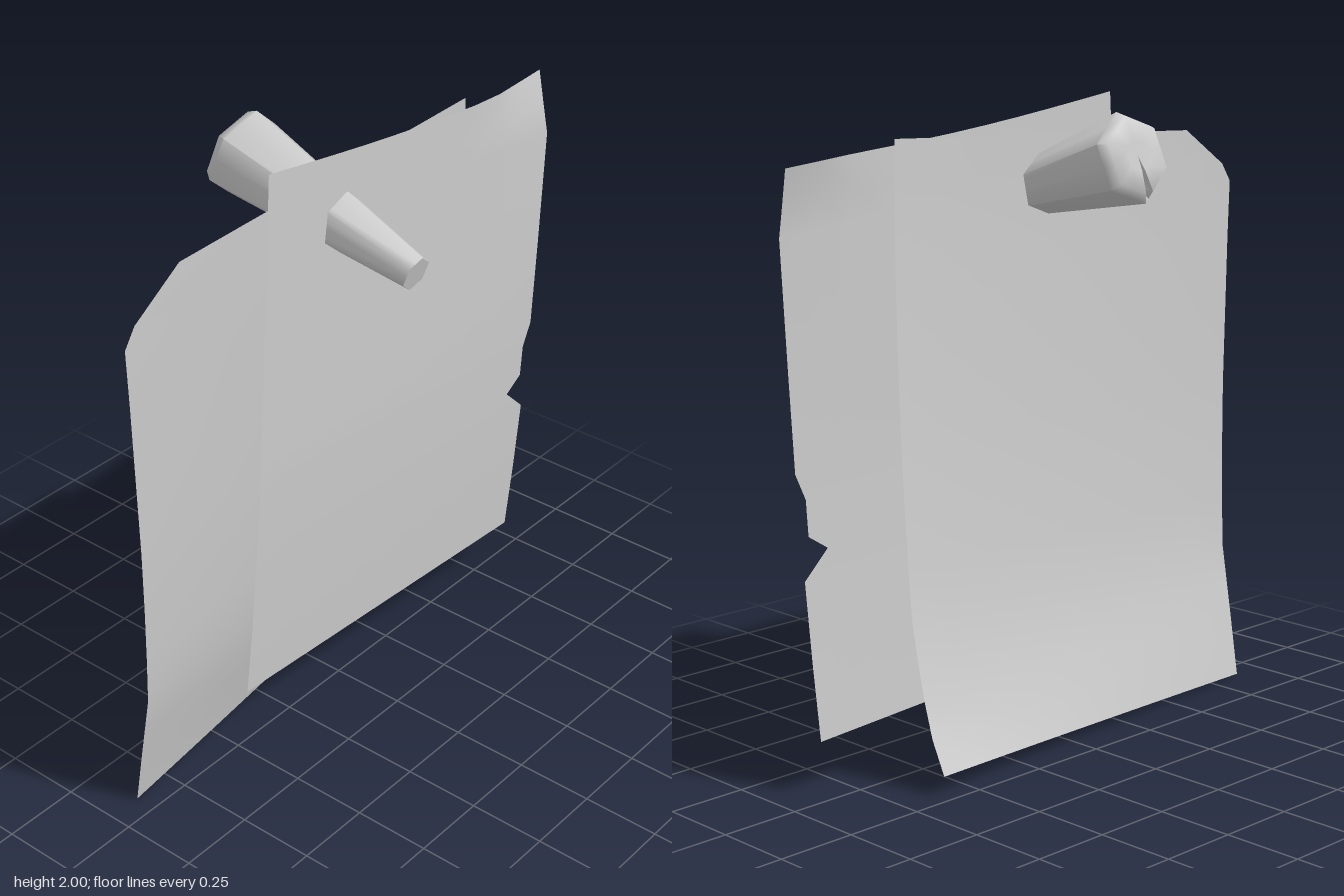
import * as THREE from 'three';
import { toCreasedNormals } from 'three/addons/utils/BufferGeometryUtils.js';

const paperGrey = new THREE.MeshStandardMaterial({ color: 0xcccccc, side: THREE.DoubleSide });
paperGrey.name = 'plain grey';

// Indexed grid surface from rows of [x, y, z] points
function gridGeometry(rows, closed = false) {
  const n = rows[0].length, index = [];
  for (let r = 0; r < rows.length - 1; r++) {
    for (let i = 0; i < (closed ? n : n - 1); i++) {
      const j = (i + 1) % n;
      const a = r * n + i, b = r * n + j, c = (r + 1) * n + j, d = (r + 1) * n + i;
      index.push(a, b, c, a, c, d);
    }
  }
  const g = new THREE.BufferGeometry();
  g.setAttribute('position', new THREE.Float32BufferAttribute(rows.flat(2), 3));
  g.setIndex(index);
  g.computeVertexNormals();
  return g;
}

// Piecewise linear lookup in [key, value] pairs
function lookup(table, k) {
  for (let i = 1; i < table.length; i++) {
    const [k0, v0] = table[i - 1], [k1, v1] = table[i];
    if (k <= k1) return v0 + (v1 - v0) * Math.max(0, (k - k0) / (k1 - k0));
  }
  return table[table.length - 1][1];
}

// Sheet lofted between matching left and right edge points
function sheet(name, left, right, columns, bend) {
  const rows = left.map(([lx, ly], i) => {
    const [rx, ry] = right[i], row = [];
    for (let c = 0; c <= columns; c++) {
      const u = c / columns;
      const x = lx + (rx - lx) * u, y = ly + (ry - ly) * u;
      row.push(bend(x, y, u, i / (left.length - 1)));
    }
    return row;
  });
  const mesh = new THREE.Mesh(gridGeometry(rows), paperGrey);
  mesh.name = name;
  return mesh;
}

function backSheet() {
  const left = [], right = [];
  for (const y of [0, 0.1, 0.2, 0.3, 0.44, 0.6, 0.8, 1.0, 1.25, 1.5, 1.68]) {
    left.push([-0.89 - 0.07 * y / 1.68, y]);
    const t = y / 1.86;
    right.push([0.61 - 0.08 * t, 0.06 + 1.845 * t]);
  }
  // clipped top corner
  left.push([-0.92, 1.74], [-0.74, 1.86]);
  right.push([0.535, 1.79], [0.53, 1.905]);
  // the lower part curls backwards, more on one side
  const zLeft = [[0, -0.07], [0.2, -0.03], [0.44, 0.02], [0.7, 0.038], [1, 0.05], [1.5, 0.058], [2, 0.06]];
  const zRight = [[0.06, -0.215], [0.16, -0.16], [0.3, -0.11], [0.5, -0.06], [0.75, -0.025],
    [1, 0.003], [1.35, 0.033], [1.65, 0.053], [1.9, 0.06]];
  return sheet('backSheet', left, right, 10, (x, y, u) =>
    [x, y, lookup(zLeft, y) * (1 - u) + lookup(zRight, y) * u]);
}

function frontSheet() {
  // torn edge with a notch
  const right = [[0.86, 0.165], [0.873, 0.4], [0.885, 0.65], [0.795, 0.735], [0.865, 0.78],
    [0.87, 0.89], [0.905, 0.97], [0.92, 1.25], [0.942, 1.65], [0.948, 1.75], [0.955, 1.85]];
  const left = right.map(([, y]) => {
    const t = (y - 0.165) / 1.685;
    return [-0.505 + 0.105 * t, 0.245 + 1.755 * t];
  });
  const profile = [[0.165, 0.045], [0.4, 0.06], [0.65, 0.073], [1.05, 0.084], [2, 0.084]];
  return sheet('frontSheet', left, right, 10, (x, y, u, v) => {
    const corner = Math.max(0, (u - 0.8) / 0.2 + (y - 1.65) / 0.2 - 1);
    const sag = 0.018 * Math.sin(Math.PI * u) * v ** 6;
    return [x, y - sag, lookup(profile, y) - 0.05 * corner];
  });
}

// Tapered six-sided peg with a bevelled, split head
function peg() {
  const split = -100;
  const angles = [-100, -92, -70, -40, -10, 20, 50, 80, 110, 140, 170, 200, 230, 252];
  const ring = (radius, z, cut = 0, drop = 0) => angles.map(a => {
    const side = (((a - split) % 60) + 60) % 60 - 30;
    let r = radius * Math.cos(Math.PI / 6) / Math.cos(side * Math.PI / 180);
    const atSplit = a === split;
    if (atSplit) r -= cut;
    const t = a * Math.PI / 180;
    return [r * Math.cos(t), r * Math.sin(t), z + (atSplit ? drop : 0)];
  });
  const rows = [
    ring(0.0001, 0), ring(0.056, 0), ring(0.142, -0.683),
    ring(0.122, -0.712, 0.03, 0.035), ring(0.05, -0.716, 0.01, 0.03), ring(0.0001, -0.712),
  ];
  const mesh = new THREE.Mesh(toCreasedNormals(gridGeometry(rows, true), 1.15), paperGrey);
  mesh.name = 'peg';
  mesh.position.set(-0.078, 1.65, 0.352);
  mesh.rotation.x = 0.274;
  return mesh;
}

export function createModel() {
  const group = new THREE.Group();
  group.name = 'pinnedSheets';
  group.add(backSheet(), frontSheet(), peg());
  return group;
}
